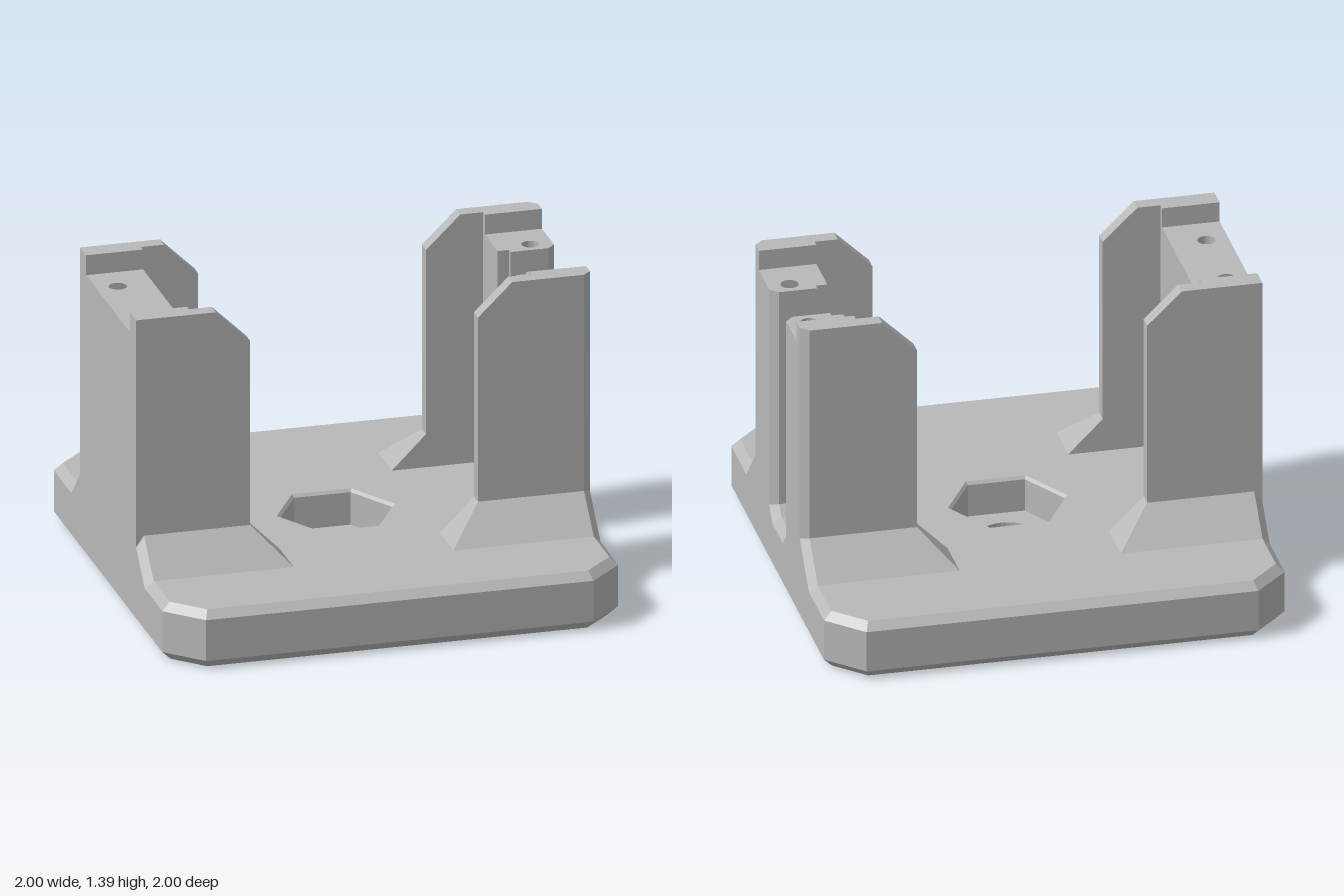
import * as THREE from 'three';
import { ConvexGeometry } from 'three/addons/geometries/ConvexGeometry.js';

const grey = new THREE.MeshStandardMaterial({ color: 0xb8b8b8 });
grey.name = 'machined grey';

const BEVEL = 0.035, TOP = 0.26;

// Rings are lists of [x, z] points
function octagon(inset) {
  const h = 1 - inset, k = 1.85 - inset * Math.SQRT2 - h;
  return [[h, -k], [h, k], [k, h], [-k, h], [-h, k], [-h, -k], [-k, -h], [k, -h]];
}
function polygon(sides, radius, cx = 0, cz = 0) {
  return Array.from({ length: sides }, (_, i) => {
    const a = (i / sides) * Math.PI * 2;
    return [cx + radius * Math.cos(a), cz + radius * Math.sin(a)];
  });
}

const toVectors = (ring) => ring.map(([x, z]) => new THREE.Vector2(x, -z));
function planShape(ring, holes = []) {
  const shape = new THREE.Shape(toVectors(ring));
  for (const hole of holes) shape.holes.push(new THREE.Path(toVectors(hole)));
  return shape;
}

// Strip of flat faces between two rings; faces outward when the first ring is the lower one
function band(a, ya, b, yb) {
  const pos = [];
  a.forEach((_, i) => {
    const j = (i + 1) % a.length;
    const a0 = [a[i][0], ya, a[i][1]], a1 = [a[j][0], ya, a[j][1]];
    const b0 = [b[i][0], yb, b[i][1]], b1 = [b[j][0], yb, b[j][1]];
    pos.push(...a0, ...b0, ...a1, ...b0, ...b1, ...a1);
  });
  const geo = new THREE.BufferGeometry();
  geo.setAttribute('position', new THREE.Float32BufferAttribute(pos, 3));
  geo.computeVertexNormals();
  return geo;
}

// Flat horizontal face with a hole
function cap(ring, hole, y, down = false) {
  const geo = new THREE.ShapeGeometry(planShape(ring, [hole]));
  return geo.rotateX(down ? Math.PI / 2 : -Math.PI / 2).translate(0, y, 0);
}

// Plan outline raised from y0 to y1
function prism(ring, holes, y0, y1) {
  const geo = new THREE.ExtrudeGeometry(planShape(ring, holes), { depth: y1 - y0, bevelEnabled: false });
  return geo.rotateX(-Math.PI / 2).translate(0, y0, 0);
}

function add(parent, name, geometry) {
  const mesh = new THREE.Mesh(geometry, grey);
  mesh.name = name;
  parent.add(mesh);
}

function createBase() {
  const base = new THREE.Group();
  base.name = 'base';
  const foot = octagon(0.04), side = octagon(0), rim = octagon(BEVEL);
  const hexMouth = polygon(6, 0.26), hex = polygon(6, 0.247), bore = polygon(40, 0.125);
  const floor = 0.1;
  add(base, 'lowerBevel', band(foot, 0, side, 0.04));
  add(base, 'sideWall', band(side, 0.04, side, TOP - BEVEL));
  add(base, 'upperBevel', band(side, TOP - BEVEL, rim, TOP));
  add(base, 'topFace', cap(rim, hexMouth, TOP));
  add(base, 'bottomFace', cap(foot, bore, 0, true));
  add(base, 'hexPocketBevel', band(hexMouth, TOP, hex, TOP - 0.013));
  add(base, 'hexPocketWall', band(hex, TOP - 0.013, hex, floor));
  add(base, 'hexPocketFloor', cap(hex, bore, floor));
  add(base, 'centreBore', band(bore, floor, bore, 0));
  return base;
}

// Half of one upright: sx picks the side, sz the front or back half
function createHalfUpright(sx, sz) {
  const half = new THREE.Group();
  half.name = (sx > 0 ? 'left' : 'right') + (sz > 0 ? 'Front' : 'Back') + 'Upright';
  const slotted = sx > 0;
  const hull = (pts) => new ConvexGeometry(pts.map(([x, y, z]) => new THREE.Vector3(x * sx, y, z * sz)));
  const flip = (ring) => ring.map(([x, z]) => [x * sx, z * sz]);
  const inner = 0.375, outer = 0.44, low = 0.2;

  // End wall with a clipped inner corner, bevelled outside on the slotted side
  const wall = [];
  for (const z of [inner, outer]) wall.push([0.5, low, z], [0.5, 1.245, z], [0.65, 1.39, z]);
  for (const y of [low, 1.39]) {
    wall.push([1, y, inner]);
    if (slotted) wall.push([1, y, outer - BEVEL], [1 - BEVEL, y, outer]);
    else wall.push([1, y, outer]);
  }
  add(half, 'endWall', hull(wall));

  // Sloping foot of the end wall
  const edge = 1 - BEVEL;
  const foot = [
    [0.5, 0.41, inner], [0.5, 0.41, outer], [edge, 0.41, outer], [edge, 0.41, inner],
    [0.35, TOP, inner], [0.35, TOP, 0.59], [edge, TOP, 0.59],
    [0.35, low, inner], [0.35, low, 0.59], [edge, low, 0.59],
    [1, low, inner], [1, low, 0.575], [1, 0.225, 0.575],
  ];
  if (slotted) foot.push([1, 0.395, 0.405], [1, 0.395, inner]);
  else foot.push([1, 0.36, outer], [1, 0.36, inner]);
  add(half, 'flaredFoot', hull(foot));

  // Thick post with a screw hole, and the lip above it
  const plan = slotted
    ? [[0.75, 0.145], [0.8, 0.145], [0.8, 0.12], [edge, 0.12], [1, 0.155], [1, inner], [0.75, inner]]
    : [[0.75, 0], [1, 0], [1, inner], [0.75, inner]];
  add(half, 'post', prism(flip(plan), [flip(polygon(24, 0.039, 0.905, 0.185))], low, 1.3));
  const lip = [[0.75, 0.345], [1, 0.345], [1, inner], [0.75, inner]];
  add(half, 'lip', prism(flip(lip), [], 1.3, 1.39));

  // Sloped lower corner of the slot
  if (slotted) {
    add(half, 'slotCorner', hull([
      [0.75, 0.3, 0.12], [edge, 0.3, 0.12], [0.75, TOP, 0.08], [edge, TOP, 0.08],
      [0.75, low, 0.08], [edge, low, 0.08], [0.75, low, 0.12],
      [1, 0.285, 0.155], [1, 0.225, 0.095], [1, low, 0.095], [1, low, 0.155],
    ]));
  }
  return half;
}

export function createModel() {
  const model = new THREE.Group();
  model.name = 'mountingBracket';
  model.add(createBase());
  for (const sx of [1, -1]) for (const sz of [1, -1]) model.add(createHalfUpright(sx, sz));
  return model;
}
